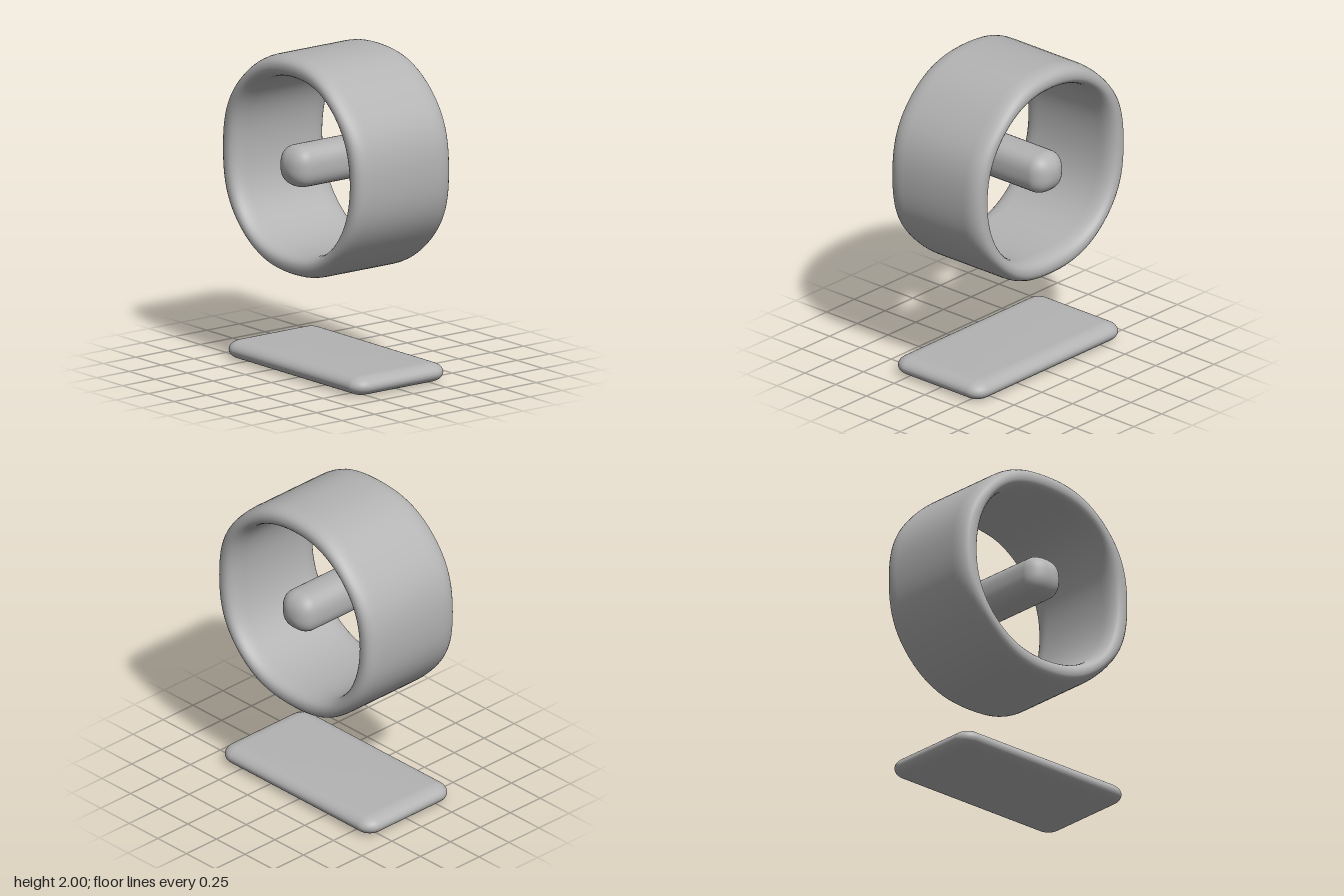
import * as THREE from 'three';
import { mergeVertices } from 'three/addons/utils/BufferGeometryUtils.js';
import { RoundedBoxGeometry } from 'three/addons/geometries/RoundedBoxGeometry.js';

const CENTRE_Y = 1.317;

// Moves every vertex by a rule, then welds seams and smooths the normals.
function reshape(geometry, rule) {
  const pos = geometry.attributes.position;
  const v = new THREE.Vector3();
  for (let i = 0; i < pos.count; i++) {
    rule(v.fromBufferAttribute(pos, i));
    pos.setXYZ(i, v.x, v.y, v.z);
  }
  geometry.deleteAttribute('uv');
  geometry.deleteAttribute('normal');
  const welded = mergeVertices(geometry, 1e-5);
  welded.computeVertexNormals();
  return welded;
}

const signedPow = (t, e) => Math.sign(t) * Math.abs(t) ** e;

// Wide band with softly rounded rims and a slightly uneven hand-shaped outline.
function ringGeometry() {
  const mid = 0.615, half = 0.069, straight = 0.25, end = 0.118;
  const profile = [];
  for (const side of [1, -1]) {
    for (let i = 0; i <= 14; i++) {
      const a = (i / 14) * Math.PI;
      profile.push(new THREE.Vector2(
        mid + side * half * signedPow(Math.cos(a), 0.85),
        side * (straight + end * Math.sin(a) ** 0.85)));
    }
  }
  profile.push(profile[0].clone());
  const band = new THREE.LatheGeometry(profile, 96).rotateX(Math.PI / 2);
  return reshape(band, (v) => {
    const r = Math.hypot(v.x, v.y), a = Math.atan2(v.y, v.x);
    const inner = THREE.MathUtils.clamp((mid + half - r) / (2 * half), 0, 1);
    const shift = inner * (0.013 - 0.014 * Math.cos(4 * a))
      + (1 - inner) * (0.003 - 0.004 * Math.cos(8 * a));
    v.x *= (r + shift) / r;
    v.y *= (r + shift) / r;
    v.z *= 1.01 - 0.015 * Math.cos(4 * a);
  });
}

// Rod with a rounded-square section and domed ends.
function axleGeometry() {
  const radius = 0.128, straight = 0.28, dome = 0.105, profile = [];
  for (const side of [-1, 1]) {
    for (let i = 0; i <= 10; i++) {
      const a = (side < 0 ? 10 - i : i) / 10 * Math.PI / 2;
      profile.push(new THREE.Vector2(
        radius * Math.max(0, Math.cos(a)) ** 0.9,
        side * (straight + dome * Math.sin(a))));
    }
  }
  const rod = new THREE.LatheGeometry(profile, 40).rotateX(Math.PI / 2);
  return reshape(rod, (v) => {
    const r = Math.hypot(v.x, v.y);
    if (r < 1e-6) return;
    const c = Math.abs(v.x / r), s = Math.abs(v.y / r), n = 2.6;
    const k = (c ** n + s ** n) ** (-1 / n);
    v.x *= k;
    v.y *= k;
  });
}

// Thin slab whose rounded edges are drawn out sideways.
function baseGeometry() {
  const coreX = 0.56, coreZ = 0.255, r = 0.0595, height = 0.12, stretch = 1.67;
  const slab = new RoundedBoxGeometry(2 * (coreX + r), height, 2 * (coreZ + r), 8, r);
  const pull = (t, core) =>
    Math.abs(t) > core ? Math.sign(t) * (core + (Math.abs(t) - core) * stretch) : t;
  return reshape(slab, (v) => {
    v.x = pull(v.x, coreX);
    v.z = pull(v.z, coreZ);
  });
}

export function createModel() {
  const grey = new THREE.MeshStandardMaterial({ color: 0xb3b3b3 });
  grey.name = 'plain grey';

  const model = new THREE.Group();
  model.name = 'ringAndBase';
  const add = (name, geometry, y) => {
    const mesh = new THREE.Mesh(geometry, grey);
    mesh.name = name;
    mesh.position.y = y;
    model.add(mesh);
  };
  add('ring', ringGeometry(), CENTRE_Y);
  add('axle', axleGeometry(), CENTRE_Y);
  add('base', baseGeometry(), 0.06);
  return model;
}
